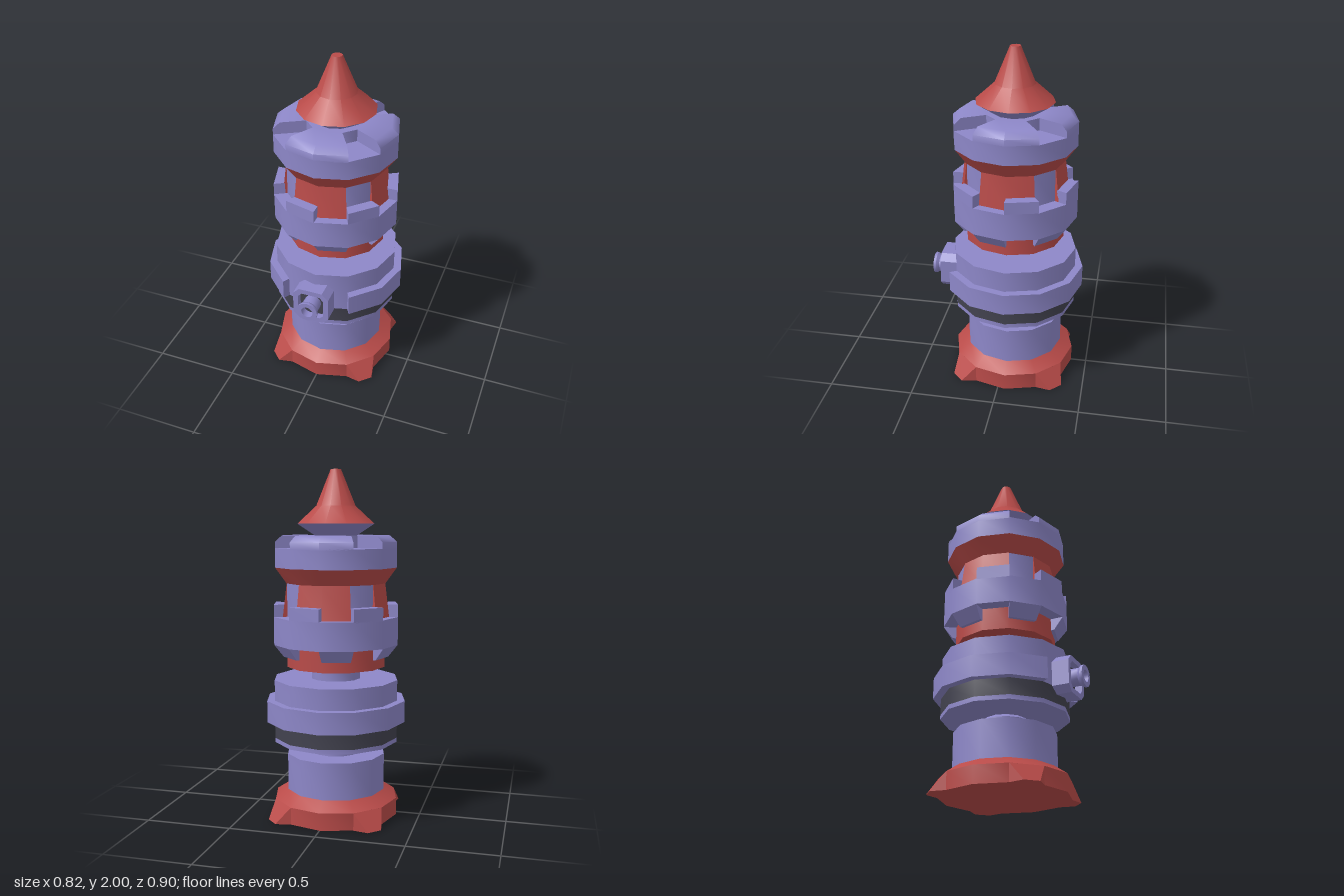
import * as THREE from 'three';
import { mergeGeometries, toCreasedNormals } from 'three/addons/utils/BufferGeometryUtils.js';
import { ConvexGeometry } from 'three/addons/geometries/ConvexGeometry.js';

const STEP = Math.PI / 6; // every round part has twelve sides

const material = (name, color) => {
  const m = new THREE.MeshStandardMaterial({ color });
  m.name = name;
  return m;
};

export function createModel() {
  const purple = material('dusty purple', 0x8d87c8);
  const red = material('brick red', 0xb94b49);
  const dark = material('dark slate', 0x42424f);

  const root = new THREE.Group();
  root.name = 'tower';
  const tower = new THREE.Group();
  tower.name = 'towerParts';
  tower.position.z = -0.042;
  root.add(tower);

  const add = (name, geometry, mat) => {
    const mesh = new THREE.Mesh(geometry, mat);
    mesh.name = name;
    tower.add(mesh);
    return mesh;
  };
  const vectors = (profile) => profile.map(([r, y]) => new THREE.Vector2(r, y));

  // Full ring from a [radius, height] profile listed bottom to top
  const turned = (name, profile, mat, crease = 0.6) =>
    add(name, toCreasedNormals(new THREE.LatheGeometry(vectors(profile), 12), crease), mat);

  // Part of a ring with closed ends; the profile runs counter-clockwise
  const sector = (name, profile, first, count, mat, crease = 0.6) => {
    const points = vectors(profile);
    const start = first * STEP, length = count * STEP;
    const skin = new THREE.LatheGeometry([...points, points[0]], count, start, length);
    const startCap = new THREE.ShapeGeometry(new THREE.Shape(points));
    const endCap = startCap.clone();
    startCap.rotateY(start - Math.PI / 2);
    endCap.rotateY(start + length - Math.PI / 2);
    endCap.setIndex([...endCap.index.array].reverse());
    endCap.computeVertexNormals();
    return add(name, toCreasedNormals(mergeGeometries([skin, startCap, endCap]), crease), mat);
  };
  const block = (r0, r1, y0, y1) => [[r0, y0], [r1, y0], [r1, y1], [r0, y1]];

  // Base with four splayed feet
  turned('base', [[0, 0], [0.365, 0], [0.365, 0.1], [0.29, 0.15], [0, 0.15]], red);
  for (let i = 0; i < 4; i++) {
    const foot = [
      [0.316, 0.1, 0.1825], [0.1825, 0.1, 0.316],
      [0.316, 0, 0.1825], [0.1825, 0, 0.316],
      [0.332, 0, 0.27], [0.27, 0, 0.332],
    ].map((p) => new THREE.Vector3(...p));
    add('foot', new ConvexGeometry(foot), red).rotation.y = i * Math.PI / 2;
  }

  // Lower column and the two narrow necks
  turned('lowerColumn', [[0.29, 0.15], [0.29, 0.365], [0, 0.365]], purple);
  for (const y of [0.365, 0.805]) {
    turned('neck', [[0.145, y], [0.145, y + 0.055], [0.12, y + 0.075], [0, y + 0.075]], purple);
  }

  // Tank body with a dark band and a belt that is open at the front
  turned('tankRim', [[0, 0.44], [0.365, 0.44], [0.365, 0.465]], purple);
  turned('tankDarkBand', [[0.365, 0.465], [0.365, 0.56]], dark);
  turned('tankBody', [[0.365, 0.56], [0.365, 0.805], [0, 0.805]], purple);
  sector('tankBelt', block(0.35, 0.41, 0.56, 0.685), 1, 10, purple);

  // Valve: chamfered frame, recessed plate and flared nozzle
  const chamferedSquare = (s, c) => new THREE.Shape([
    [s, -c], [s, c], [c, s], [-c, s], [-s, c], [-s, -c], [-c, -s], [c, -s],
  ].map(([x, y]) => new THREE.Vector2(x, y)));
  const frameShape = chamferedSquare(0.108, 0.07);
  frameShape.holes.push(chamferedSquare(0.078, 0.054));
  const valve = new THREE.Group();
  valve.name = 'valve';
  valve.position.set(0, 0.625, 0.335);
  const addValve = (name, geometry, mat) => {
    const mesh = add(name, geometry, mat);
    valve.add(mesh);
    return mesh;
  };
  addValve('valveFrame', new THREE.ExtrudeGeometry(frameShape, { depth: 0.1, bevelEnabled: false }), purple);
  addValve('valveRecess', new THREE.ShapeGeometry(chamferedSquare(0.08, 0.056)), dark).position.z = 0.06;
  const nozzle = new THREE.LatheGeometry(vectors([
    [0.05, 0.05], [0.05, 0.125], [0.063, 0.142], [0.063, 0.157], [0.035, 0.157], [0.035, 0.1],
  ]), 12);
  nozzle.rotateX(Math.PI / 2);
  addValve('nozzle', toCreasedNormals(nozzle, 0.6), purple);
  addValve('nozzleHole', new THREE.CircleGeometry(0.036, 12), dark).position.z = 0.11;
  tower.add(valve);

  // Upper drum and the notched middle ring
  turned('drum', [[0, 0.88], [0.29, 0.88], [0.29, 1.1]], red);
  turned('middleRing', [[0.28, 1.01], [0.365, 1.01], [0.365, 1.17], [0.27, 1.17]], purple);
  for (let i = 0; i < 6; i++) {
    sector('upperTooth', block(0.3, 0.365, 1.165, 1.24), 2 * i + 1, 1, purple);
    sector('lowerTooth', [[0.28, 0.94], [0.31, 0.94], [0.365, 1.01], [0.28, 1.015]], 2 * i, 1, purple);
  }

  // Purple core showing between four sloped red panels
  turned('upperCore', [[0.287, 1.16], [0.287, 1.365]], purple);
  for (let i = 0; i < 4; i++) {
    sector('redPanel', [[0.26, 1.165], [0.314, 1.165], [0.29, 1.36], [0.26, 1.36]], 3 * i - 1, 2, red);
  }
  turned('flare', [[0.27, 1.36], [0.29, 1.36], [0.355, 1.45]], red);

  // Crown ring: four rounded blocks with notches on the diagonals
  turned('crownRing', [[0.355, 1.45], [0.355, 1.56], [0, 1.56]], purple);
  turned('crownCore', [[0.17, 1.56], [0.17, 1.63], [0, 1.63]], purple);
  const crownBlock = [[0.16, 1.555], [0.355, 1.555], [0.355, 1.595], [0.315, 1.63], [0.16, 1.63]];
  for (let i = 0; i < 4; i++) sector('crownBlock', crownBlock, 3 * i - 1, 2, purple, 0.95);

  // Spire
  turned('spireCollar', [[0.125, 1.63], [0.225, 1.695]], purple);
  turned('spire', [[0.225, 1.695], [0.115, 1.795], [0.03, 2], [0, 2]], red);

  return root;
}
